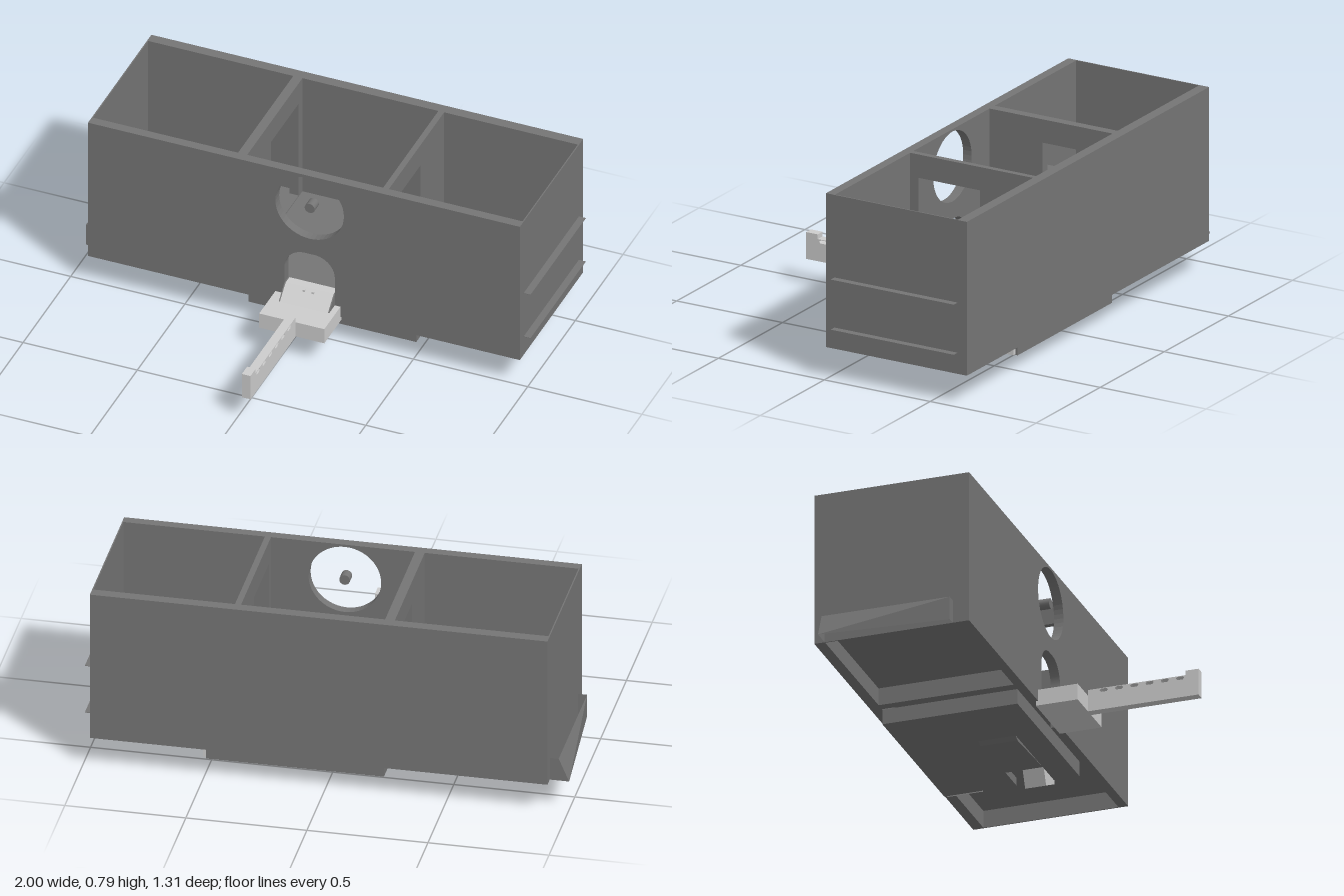
import * as THREE from 'three';

const dark = new THREE.MeshStandardMaterial({ color: 0x757575, side: THREE.DoubleSide });
dark.name = 'dark grey';
const light = new THREE.MeshStandardMaterial({ color: 0xcccccc, side: THREE.DoubleSide });
light.name = 'light grey';

export function createModel() {
  const model = new THREE.Group();
  model.name = 'compartmentHouse';

  const add = (name, geometry, material) => {
    const mesh = new THREE.Mesh(geometry, material);
    mesh.name = name;
    model.add(mesh);
    return mesh;
  };
  // Box given by its limits on each axis
  const box = (name, mat, x0, x1, y0, y1, z0, z1) => {
    const m = add(name, new THREE.BoxGeometry(x1 - x0, y1 - y0, z1 - z0), mat);
    m.position.set((x0 + x1) / 2, (y0 + y1) / 2, (z0 + z1) / 2);
    return m;
  };
  const polygon = (pts, Type = THREE.Shape) => new Type(pts.map(([a, b]) => new THREE.Vector2(a, b)));
  const rect = (a0, a1, b0, b1, Type) => polygon([[a0, b0], [a1, b0], [a1, b1], [a0, b1]], Type);
  // Side profile drawn in (z, y), extruded from x0 to x1
  const sideExtrude = (name, mat, shape, x0, x1) => {
    const g = new THREE.ExtrudeGeometry(shape, { depth: x1 - x0, bevelEnabled: false, curveSegments: 8 });
    g.rotateY(-Math.PI / 2);
    g.translate(x1, 0, 0);
    return add(name, g, mat);
  };
  // Open sheet made of quads
  const quads = (name, mat, list) => {
    const pos = [];
    for (const [a, b, c, d] of list) pos.push(...a, ...b, ...c, ...a, ...c, ...d);
    const g = new THREE.BufferGeometry();
    g.setAttribute('position', new THREE.Float32BufferAttribute(pos, 3));
    g.computeVertexNormals();
    return add(name, g, mat);
  };

  // Front wall with round window and arched doorway
  const front = polygon([[-0.92, 0.13], [-0.06, 0.13], [-0.06, 0.315]]);
  front.absarc(0.03, 0.315, 0.09, Math.PI, Math.PI / 2, true);
  front.absarc(0.07, 0.315, 0.09, Math.PI / 2, 0, true);
  front.lineTo(0.16, 0.13);
  front.lineTo(0.97, 0.13);
  front.lineTo(0.97, 0.79);
  front.lineTo(-0.92, 0.79);
  const roundWindow = new THREE.Path();
  roundWindow.absarc(0.05, 0.63, 0.15, 0, Math.PI * 2, true);
  front.holes.push(roundWindow);
  const frontGeometry = new THREE.ExtrudeGeometry(front, { depth: 0.04, bevelEnabled: false, curveSegments: 24 });
  frontGeometry.translate(0, 0, -0.03);
  add('frontWall', frontGeometry, dark);

  const peg = add('windowPeg', new THREE.CylinderGeometry(0.022, 0.022, 0.045, 20), dark);
  peg.rotation.x = Math.PI / 2;
  peg.position.set(0.05, 0.63, -0.0125);

  // Remaining walls and raised floor
  box('backWall', dark, -0.92, 0.97, 0.13, 0.79, -0.655, -0.61);
  box('endWall', dark, -0.92, -0.915, 0.13, 0.79, -0.61, -0.03);
  box('endWall', dark, 0.965, 0.97, 0.13, 0.79, -0.61, -0.03);
  box('floor', dark, -0.915, 0.965, 0.205, 0.23, -0.61, -0.03);

  // Dividers with doorways
  for (const [x0, x1, z0, z1] of [[-0.28, -0.24, -0.57, -0.28], [0.355, 0.38, -0.36, -0.07]]) {
    const s = rect(-0.61, -0.03, 0.13, 0.79);
    s.holes.push(rect(z0, z1, 0.235, 0.69, THREE.Path));
    sideExtrude('divider', dark, s, x0, x1);
  }

  // Thin ledges on the end wall
  for (const y of [0.22, 0.435]) box('endLedge', dark, 0.97, 1, y - 0.001, y + 0.001, -0.61, -0.03);

  // Tapering open chute on the opposite end
  const back = -0.61, near = -0.06;
  const t0 = [-0.957, 0.23, back], t1 = [-0.957, 0.23, near];
  const b0 = [-1, 0.13, back], b1 = [-0.957, 0.13, near];
  quads('sideChute', dark, [
    [b0, b1, t1, t0],
    [[-0.92, 0.13, back], b0, t0, [-0.92, 0.23, back]],
    [b1, [-0.92, 0.13, near], [-0.92, 0.23, near], t1],
  ]);

  // Inner platform, stairs and small side steps
  box('innerPlatform', dark, -0.67, -0.28, 0.23, 0.42, -0.4, -0.03);
  for (let i = 0; i < 7; i++) {
    const z = -0.04 - i * 0.046;
    box('stair', light, -0.76, -0.67, 0.23, 0.255 + i * 0.026, z - 0.046, z);
  }
  for (const x of [-0.69, -0.525, -0.395]) box('sideStep', light, x, x + 0.095, 0.36, 0.38, -0.43, -0.4);

  // Door landing and sloped sill with dark cheeks
  box('landing', light, -0.1, 0.185, 0.11, 0.18, 0, 0.18);
  const sill = polygon([[-0.03, 0.18], [0.07, 0.18], [0.01, 0.235], [-0.03, 0.235]]);
  sideExtrude('doorSill', light, sill, -0.055, 0.155);
  for (const x of [-0.06, 0.155]) sideExtrude('sillCheek', dark, sill, x, x + 0.005);
  for (let i = 0; i < 2; i++) box('sillRib', light, 0.025 + i * 0.04, 0.035 + i * 0.04, 0.18, 0.23, 0.01, 0.025);

  // Long slotted perch with raised tip
  const perch = polygon([[0.18, 0.11], [0.655, 0.11], [0.655, 0.225], [0.6, 0.225], [0.6, 0.205], [0.18, 0.205]]);
  for (let i = 0; i < 6; i++) {
    const z = 0.248 + i * 0.0655;
    perch.holes.push(polygon([[z - 0.018, 0.196], [z - 0.012, 0.188], [z + 0.012, 0.188],
      [z + 0.018, 0.196], [z + 0.012, 0.202], [z - 0.012, 0.202]], THREE.Path));
  }
  sideExtrude('perch', light, perch, 0.022, 0.06);

  // Underbody tray with two arms
  box('tray', dark, -0.235, 0.3, 0.065, 0.13, -0.61, -0.03);
  box('trayArm', dark, 0.3, 0.5, 0.065, 0.13, -0.14, -0.03);
  box('trayArm', dark, 0.3, 0.5, 0.065, 0.13, -0.61, -0.3);
  box('trayBridge', dark, 0.3, 0.5, 0.1, 0.13, -0.3, -0.14);
  box('trayBlock', light, 0.4, 0.515, 0.068, 0.102, -0.6, -0.45);

  // Sloped chute lip and tilted spout under the tray
  const lip = new THREE.ExtrudeGeometry(
    polygon([[0.05, 0.065], [0.07, 0.052], [0.37, 0.065], [0.4, 0.13], [0.3, 0.13]]),
    { depth: 0.16, bevelEnabled: false });
  lip.translate(0, 0, -0.3);
  add('chuteLip', lip, dark);
  const spout = new THREE.ExtrudeGeometry(
    polygon([[0.41, 0], [0.51, 0.05], [0.515, 0.095], [0.37, 0.095]]),
    { depth: 0.09, bevelEnabled: false });
  spout.translate(0, 0, -0.23);
  add('spout', spout, light);

  return model;
}
